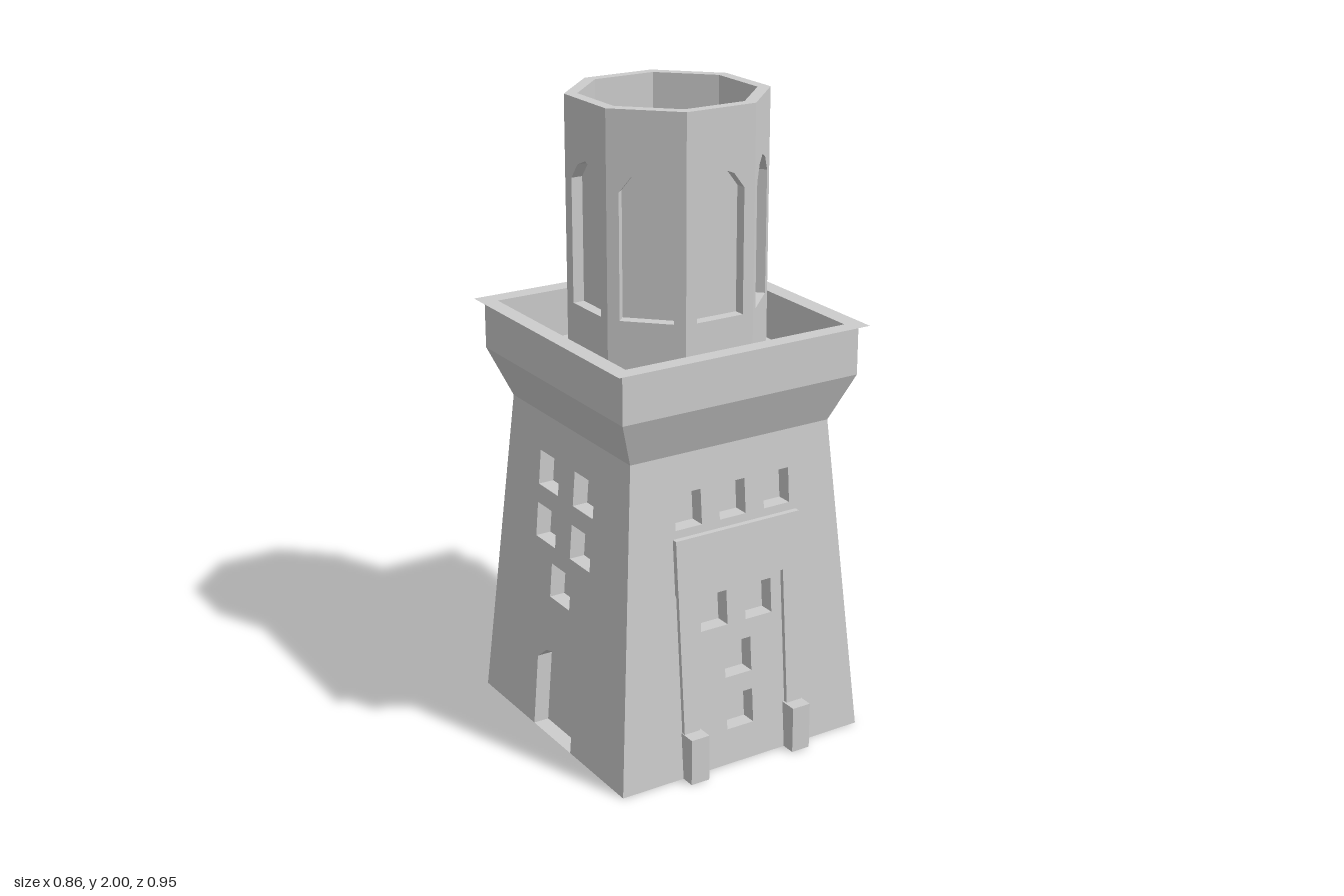
import * as THREE from 'three';
import { mergeGeometries } from 'three/addons/utils/BufferGeometryUtils.js';

const BODY_TOP = 1.02, DECK = 1.17, RIM = 1.325, TOP = 2;
const APOTHEM = 0.281, INNER = 0.245;

// half width of the tapering body at height y
const bodyHalf = y => 0.43 - 0.082 * y / BODY_TOP;

const rect = (cx, w, y0, y1) => [[cx - w / 2, y0], [cx + w / 2, y0], [cx + w / 2, y1], [cx - w / 2, y1]];

const arch = (hw, y0, spring, apex) => {
  const shoulder = spring + (apex - spring) * 0.72;
  return [[-hw, y0], [hw, y0], [hw, spring], [hw * 0.55, shoulder], [0, apex], [-hw * 0.55, shoulder], [-hw, spring]];
};

const toVectors = pts => pts.map(([x, y]) => new THREE.Vector2(x, y));

// flat outline with holes, bent onto the plane z = half(y) - depth
function sheet(outline, holes, half, depth = 0) {
  const shape = new THREE.Shape(toVectors(outline));
  holes.forEach(h => shape.holes.push(new THREE.Path(toVectors(h))));
  const geo = new THREE.ShapeGeometry(shape);
  const p = geo.attributes.position;
  for (let i = 0; i < p.count; i++) p.setZ(i, half(p.getY(i)) - depth);
  geo.deleteAttribute('uv');
  return geo.toNonIndexed();
}

// inner sides of an opening
function reveal(loop, half, depth) {
  const v = [];
  loop.forEach(([x0, y0], i) => {
    const [x1, y1] = loop[(i + 1) % loop.length];
    const a = [x0, y0, half(y0)], b = [x1, y1, half(y1)];
    const c = [x1, y1, half(y1) - depth], d = [x0, y0, half(y0) - depth];
    v.push(...a, ...b, ...c, ...a, ...c, ...d);
  });
  const geo = new THREE.BufferGeometry();
  geo.setAttribute('position', new THREE.Float32BufferAttribute(v, 3));
  geo.computeVertexNormals();
  return geo;
}

// wall with recessed openings; backs are optional
function wall(outline, openings, half, depth, backs) {
  const parts = [sheet(outline, openings, half)];
  openings.forEach(o => {
    parts.push(reveal(o, half, depth));
    if (backs) parts.push(sheet(o, [], half, depth));
  });
  const geo = mergeGeometries(parts);
  geo.computeVertexNormals();
  return geo;
}

// slab lying on the sloped wall
function slab(x0, x1, y0, y1, out) {
  const geo = new THREE.BoxGeometry(x1 - x0, y1 - y0, 1);
  geo.translate((x0 + x1) / 2, (y0 + y1) / 2, 0);
  const p = geo.attributes.position;
  for (let i = 0; i < p.count; i++) p.setZ(i, bodyHalf(p.getY(i)) + (p.getZ(i) > 0 ? out : -0.005));
  geo.computeVertexNormals();
  return geo;
}

export function createModel() {
  const model = new THREE.Group();
  model.name = 'tower';
  const stone = new THREE.MeshStandardMaterial({ color: 0xcccccc, flatShading: true, side: THREE.DoubleSide });
  stone.name = 'grey stone';
  const add = (parent, name, geo) => {
    const m = new THREE.Mesh(geo, stone);
    m.name = name;
    parent.add(m);
    return m;
  };

  // tapering body walls
  const b = bodyHalf(0), t = bodyHalf(BODY_TOP);
  const face = [[-b, 0], [b, 0], [t, BODY_TOP], [-t, BODY_TOP]];
  const frontWindows = [
    ...[-0.16, -0.005, 0.153].map(x => rect(x, 0.092, 0.79, 0.9)),
    ...[-0.085, 0.075].map(x => rect(x, 0.095, 0.455, 0.565)),
    rect(-0.005, 0.095, 0.285, 0.395),
    rect(-0.005, 0.095, 0.115, 0.225),
  ];
  // the doorway starts at the ground, so it cuts into the side outline
  const door = arch(0.114, 0, 0.232, 0.29);
  const sideFace = [[-b, 0], ...[door[0], ...door.slice(2).reverse(), door[1]], [b, 0], [t, BODY_TOP], [-t, BODY_TOP]];
  const sideWindows = [
    ...[-0.104, 0.104].flatMap(x => [rect(x, 0.118, 0.79, 0.9), rect(x, 0.118, 0.62, 0.73)]),
    rect(0, 0.118, 0.455, 0.565),
  ];

  for (let i = 0; i < 4; i++) {
    const side = new THREE.Group();
    side.rotation.y = i * Math.PI / 2;
    model.add(side);
    if (i % 2) {
      side.name = 'doorSide';
      add(side, 'doorWall', wall(sideFace, sideWindows, bodyHalf, 0.05, true));
      // open bottom: skip the threshold edge
      const jambs = reveal(door, bodyHalf, 0.05);
      jambs.setDrawRange(6, Infinity);
      add(side, 'doorJambs', jambs);
      add(side, 'door', sheet(door, [], bodyHalf, 0.05));
    } else {
      side.name = 'portalSide';
      add(side, 'windowWall', wall(face, frontWindows, bodyHalf, 0.05, true));
      add(side, 'lintelPanel', slab(-0.217, 0.222, 0.59, 0.765, 0.018));
      for (const s of [-1, 1]) {
        add(side, 'pilaster', slab(s * 0.187 - 0.027, s * 0.187 + 0.027, 0.14, 0.6, 0.014));
        add(side, 'pilasterBase', new THREE.BoxGeometry(0.063, 0.15, 0.07)).position.set(s * 0.185, 0.075, 0.44);
      }
    }
  }

  // flared cornice, parapet and deck as a square lathe
  const square = pts => new THREE.LatheGeometry(
    pts.map(([r, y]) => new THREE.Vector2(r * Math.SQRT2, y)), 4, Math.PI / 4);
  add(model, 'corniceAndParapet', square([
    [t, BODY_TOP], [0.408, DECK], [0.408, RIM - 0.002], [0.38, RIM - 0.002], [0.38, DECK], [0, DECK]]));
  add(model, 'parapetLip', square([[0.432, RIM], [0.38, RIM]]));

  // octagonal lantern with an arched niche on every side
  const hw = APOTHEM * Math.tan(Math.PI / 8);
  const niche = arch(0.08, 1.38, 1.76, 1.825);
  const lanternFace = rect(0, 2 * hw, DECK, TOP);
  const lantern = new THREE.Group();
  lantern.name = 'lantern';
  model.add(lantern);
  for (let i = 0; i < 8; i++) {
    add(lantern, 'lanternWall', wall(lanternFace, [niche], () => APOTHEM, APOTHEM - INNER, false))
      .rotation.y = i * Math.PI / 4;
  }
  // lining closes the backs of the niches; rim joins it to the outer walls
  const k = 1 / Math.cos(Math.PI / 8);
  add(lantern, 'liningAndRim', new THREE.LatheGeometry([
    new THREE.Vector2(APOTHEM * k, TOP), new THREE.Vector2(INNER * k, TOP), new THREE.Vector2(INNER * k, DECK),
  ], 8, Math.PI / 8));

  return model;
}
